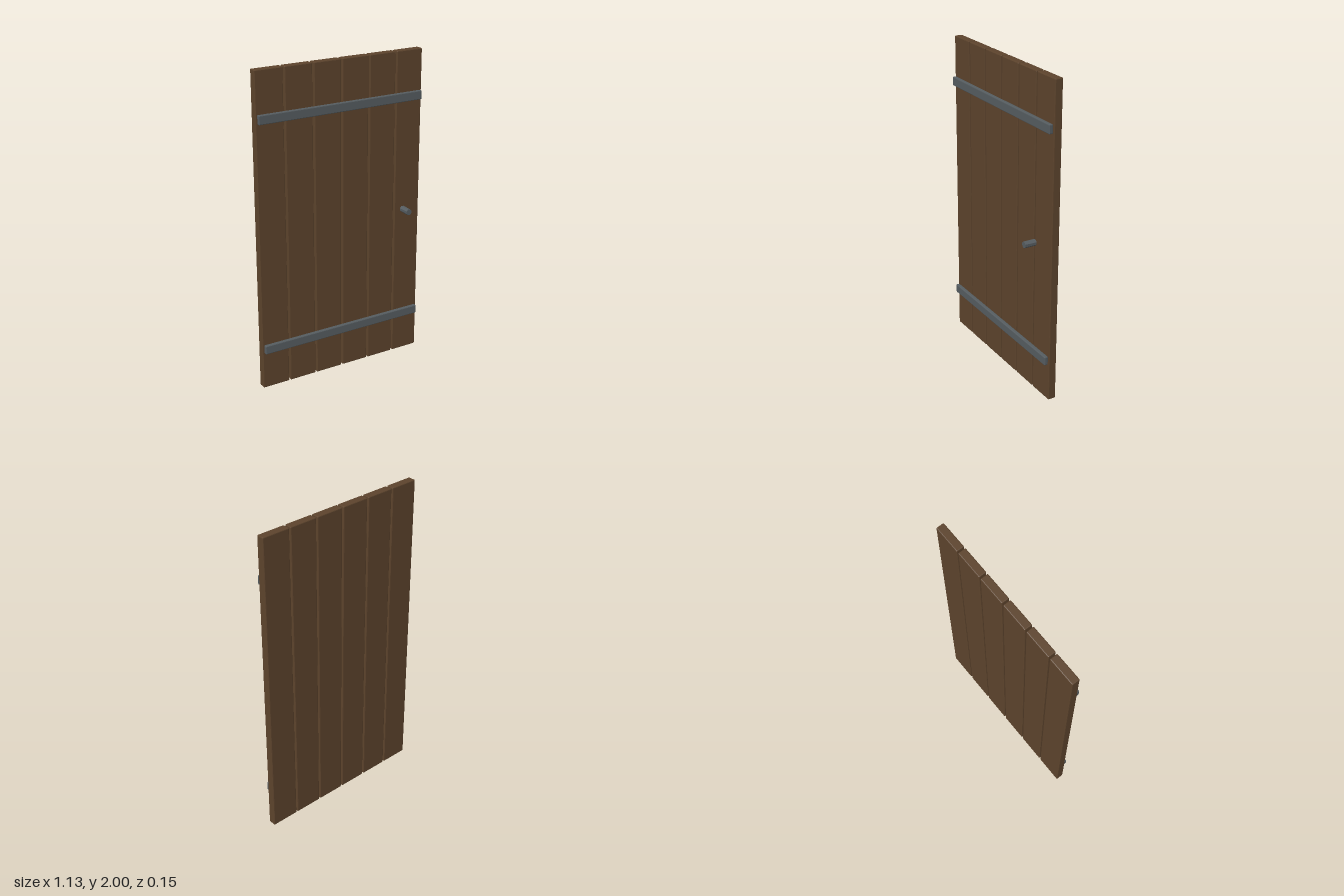
import * as THREE from 'three';
import { RoundedBoxGeometry } from 'three/addons/geometries/RoundedBoxGeometry.js';

export function createModel() {
  const door = new THREE.Group();
  door.name = 'plankDoor';
  const wood = new THREE.MeshStandardMaterial({ color: 0x5c432c, flatShading: true });
  const iron = new THREE.MeshStandardMaterial({ color: 0x555c60, flatShading: true });

  const add = (name, geometry, material, x, y, z) => {
    const mesh = new THREE.Mesh(geometry, material);
    mesh.name = name;
    mesh.position.set(x, y, z);
    door.add(mesh);
    return mesh;
  };

  // Six upright planks with narrow gaps and chamfered edges
  const count = 6, pitch = 0.1905;
  const plank = new RoundedBoxGeometry(0.18, 2, 0.05, 1, 0.005);
  for (let i = 0; i < count; i++) {
    add(`plank${i + 1}`, plank, wood, (i - (count - 1) / 2) * pitch, 1, -0.05);
  }

  // Two iron straps across the front
  const strap = new RoundedBoxGeometry(1.112, 0.056, 0.025, 1, 0.005);
  add('lowerStrap', strap, iron, -0.001, 0.268, -0.0125);
  add('upperStrap', strap, iron, -0.001, 1.717, -0.0125);

  // Eight-sided handle pointing forward, flats facing up and sideways
  const handle = new THREE.CylinderGeometry(0.02, 0.02, 0.075, 8);
  handle.rotateY(Math.PI / 8).rotateX(Math.PI / 2);
  add('handle', handle, iron, 0.428, 1, 0.0375);

  return door;
}
